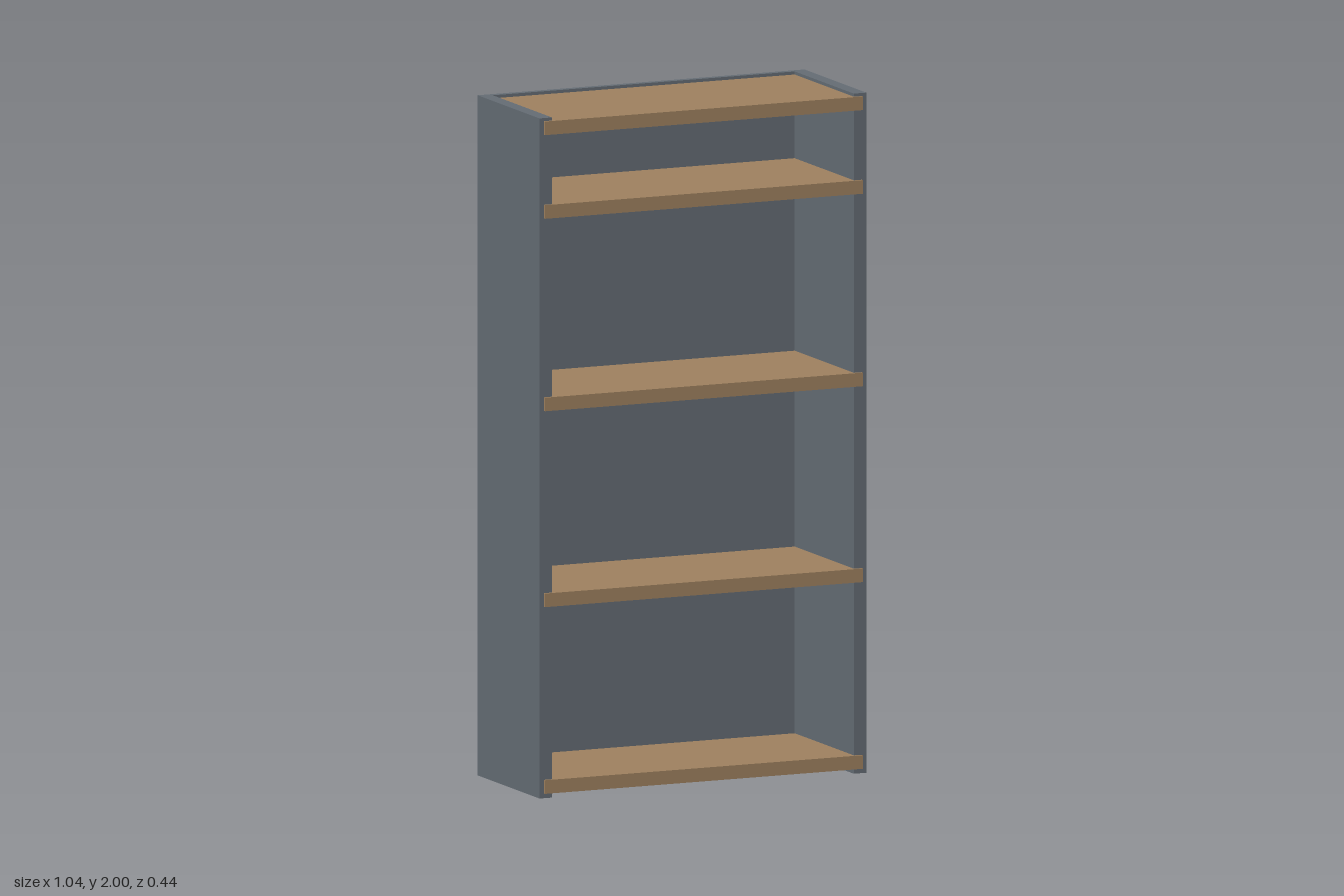
import * as THREE from 'three';

export function createModel() {
  const root = new THREE.Group();
  root.name = 'bookcase';

  const greyPaint = new THREE.MeshStandardMaterial({ color: 0x656d75 });
  greyPaint.name = 'greyPaint';
  const wood = new THREE.MeshStandardMaterial({ color: 0xa08260 });
  wood.name = 'wood';

  // Box given by its minimum and maximum corners
  function box(name, material, min, max, parent = root) {
    const size = max.map((v, i) => v - min[i]);
    const mesh = new THREE.Mesh(new THREE.BoxGeometry(...size), material);
    mesh.position.set(...max.map((v, i) => (v + min[i]) / 2));
    mesh.name = name;
    parent.add(mesh);
    return mesh;
  }

  const W = 0.521, inner = 0.481, backZ = -0.219, panelZ = -0.2, frontZ = 0.211, lipZ = 0.219;

  // Carcass: back board and two side panels, open at top and bottom
  box('backPanel', greyPaint, [-W, 0, backZ], [W, 2, panelZ]);
  box('leftSidePanel', greyPaint, [inner, 0, panelZ], [W, 2, frontZ]);
  box('rightSidePanel', greyPaint, [-W, 0, panelZ], [-inner, 2, frontZ]);

  // Shelves, each with a front lip lapping over the side panels
  [0.034, 0.583, 1.159, 1.725, 1.971].forEach((y, i) => {
    const shelf = new THREE.Group();
    shelf.name = `shelf${i + 1}`;
    const h = 0.02;
    box('shelfBoard', wood, [-inner, y - h, panelZ], [inner, y + h, frontZ], shelf);
    box('shelfLip', wood, [-0.507, y - h, frontZ], [0.507, y + h, lipZ], shelf);
    root.add(shelf);
  });

  return root;
}
